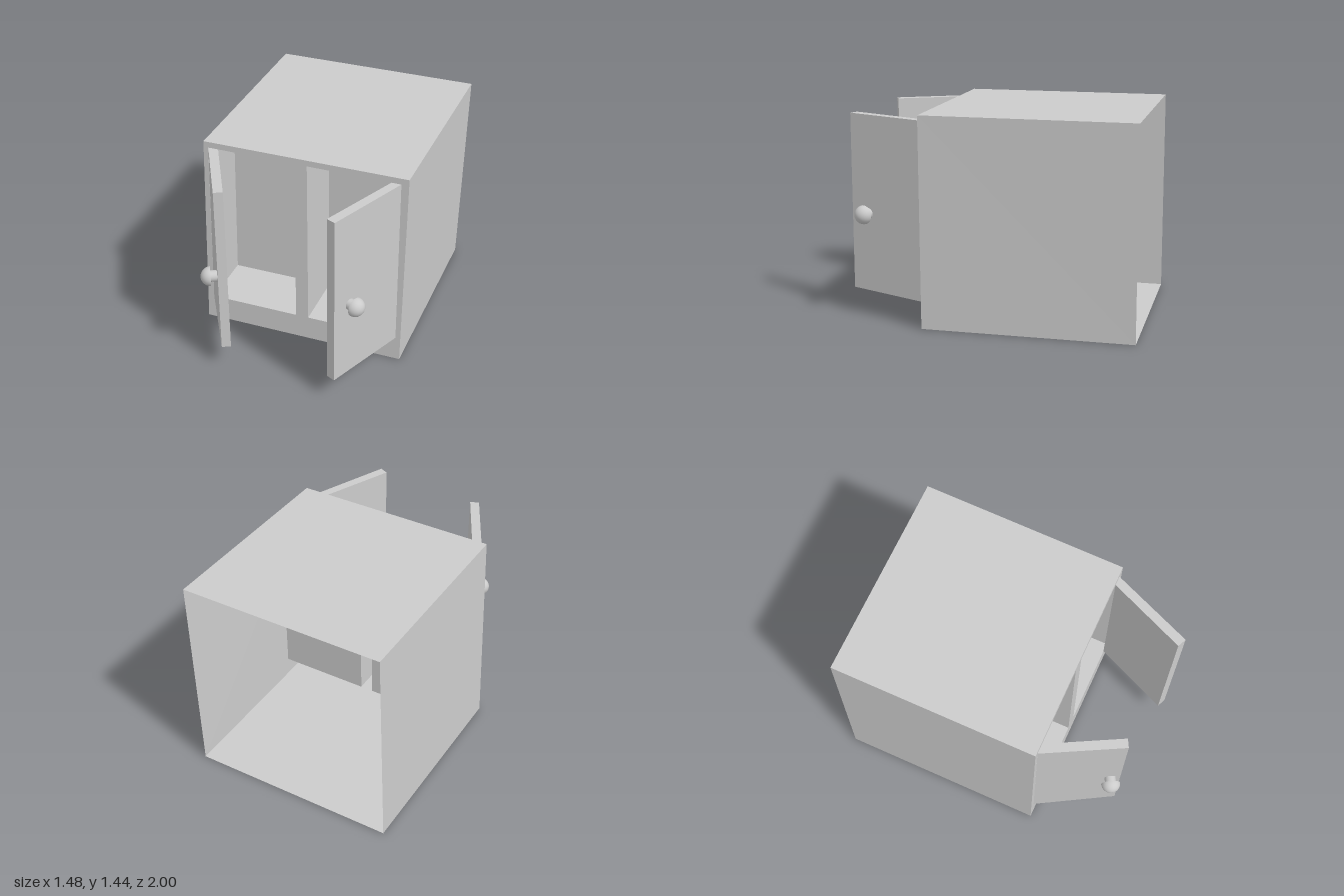
import * as THREE from 'three';

const TOP = 1.44, FRONT = 0.436, BACK = -1, RECESS_BACK = 0.025;
const DOOR_LOW = 0.178, DOOR_HIGH = 1.398;

const thin = new THREE.MeshStandardMaterial({ color: 0xcccccc, flatShading: true, side: THREE.DoubleSide });
const smooth = new THREE.MeshStandardMaterial({ color: 0xcccccc, side: THREE.DoubleSide });

function addMesh(parent, name, geometry, material = thin) {
  const mesh = new THREE.Mesh(geometry, material);
  mesh.name = name;
  parent.add(mesh);
  return mesh;
}

// Joins two four-cornered sections with flat walls, with an optional cap on each
function loft(a, b, capA, capB) {
  const faces = a.map((p, i) => [p, a[(i + 1) % 4], b[(i + 1) % 4], b[i]]);
  if (capA) faces.push([a[3], a[2], a[1], a[0]]);
  if (capB) faces.push(b);
  const positions = faces.flatMap(([p, q, r, s]) => [p, q, r, p, r, s]).flat();
  const geometry = new THREE.BufferGeometry();
  geometry.setAttribute('position', new THREE.Float32BufferAttribute(positions, 3));
  geometry.computeVertexNormals();
  return geometry;
}

const atZ = (outline, z) => outline.map(([x, y]) => [x, y, z]);
const toVectors = (outline) => outline.map(([x, y]) => new THREE.Vector2(x, y));

// Outlines run clockwise seen from the front, starting bottom left
const frontOutline = [[-0.74, 0], [-0.70, TOP], [0.72, TOP], [0.70, 0]];
const backOutline = [[-0.74, 0], [-0.70, TOP], [0.735, TOP], [0.70, 0]];
const openings = {
  right: [[-0.69, DOOR_LOW], [-0.668, DOOR_HIGH], [-0.06, DOOR_HIGH], [-0.06, DOOR_LOW]],
  left: [[0.03, DOOR_LOW], [0.03, DOOR_HIGH], [0.672, DOOR_HIGH], [0.667, DOOR_LOW]],
};

// Door plans as [x, z]: outer hinge, inner hinge, inner tip, outer tip
const doors = {
  right: { plan: [[-0.667, FRONT], [-0.596, FRONT], [-0.342, 0.915], [-0.397, 0.944]], lean: -0.023, knobAt: 0.505 },
  left: { plan: [[0.668, FRONT], [0.602, FRONT], [0.37, 0.973], [0.43, 1]], lean: 0, knobAt: 0.468 },
};

// Knob turned around +y: a stem with a half-round head
function knobGeometry() {
  const points = [[0.038, -0.005], [0.038, 0.045], [0.065, 0.045]].map(([x, y]) => new THREE.Vector2(x, y));
  const stem = new THREE.LatheGeometry(points.slice(0, 2), 24);
  const underside = new THREE.LatheGeometry(points.slice(1), 24);
  const dome = new THREE.SphereGeometry(0.065, 24, 10, 0, Math.PI * 2, 0, Math.PI / 2);
  dome.translate(0, 0.045, 0);
  return { knobStem: stem, knobUnderside: underside, knobHead: dome };
}

function makeDoor(side, { plan, lean, knobAt }) {
  const door = new THREE.Group();
  door.name = side + 'Door';
  const high = plan.map(([x, z]) => [x, DOOR_HIGH, z]);
  const low = plan.map(([x, z], i) => [x + (i === 0 ? lean : 0), DOOR_LOW, z]);
  addMesh(door, side + 'DoorPanel', side === 'left' ? loft(low, high, true, true) : loft(high, low, true, true));

  // Knob stands square on the outer face
  const hinge = new THREE.Vector3(plan[0][0], 0.72, plan[0][1]);
  const along = new THREE.Vector3(plan[3][0], 0.72, plan[3][1]).sub(hinge).normalize();
  const sign = side === 'left' ? 1 : -1;
  const outward = new THREE.Vector3(along.z * sign, 0, -along.x * sign);
  const knob = new THREE.Group();
  knob.name = side + 'Knob';
  for (const [name, geometry] of Object.entries(knobGeometry())) addMesh(knob, name, geometry, smooth);
  knob.position.copy(hinge).addScaledVector(along, knobAt);
  knob.quaternion.setFromUnitVectors(new THREE.Vector3(0, 1, 0), outward);
  door.add(knob);
  return door;
}

export function createModel() {
  const cabinet = new THREE.Group();
  cabinet.name = 'cabinet';

  // Slightly crooked outer shell, open at the back
  addMesh(cabinet, 'shell', loft(atZ(frontOutline, FRONT), atZ(backOutline, BACK), false, false));

  // Front frame with two door openings
  const frame = new THREE.Shape(toVectors(frontOutline));
  for (const outline of Object.values(openings)) frame.holes.push(new THREE.Path(toVectors(outline)));
  addMesh(cabinet, 'frontFrame', new THREE.ShapeGeometry(frame)).position.z = FRONT;

  // Shallow compartments and their open doors
  for (const side of ['left', 'right']) {
    const outline = openings[side];
    addMesh(cabinet, side + 'Compartment', loft(atZ(outline, FRONT), atZ(outline, RECESS_BACK), false, true));
    cabinet.add(makeDoor(side, doors[side]));
  }
  return cabinet;
}
